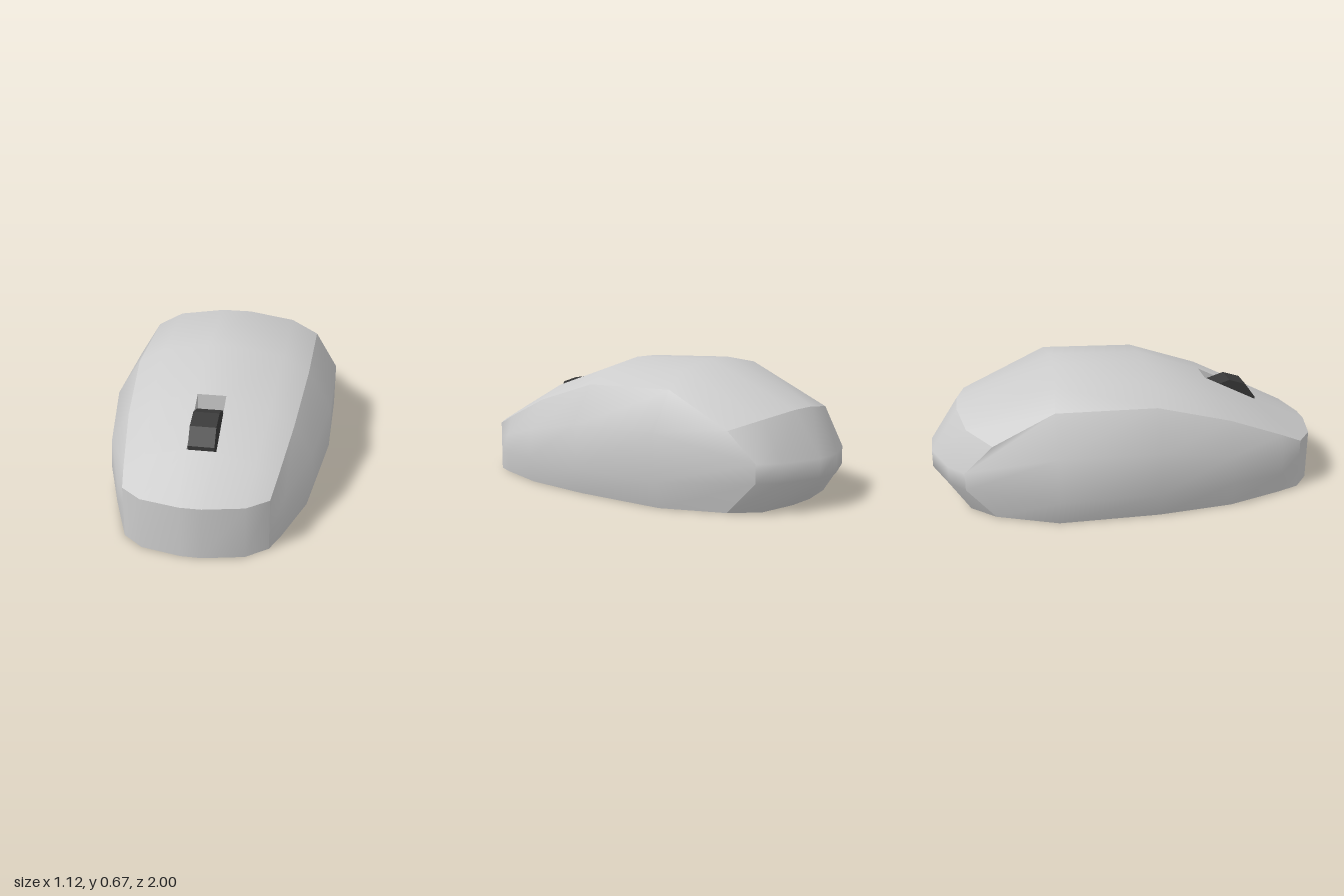
import * as THREE from 'three';

// Smooth grid patch from rows of points; skip(i, j) leaves a quad open
function patch(rows, skip = () => false) {
  const n = rows[0].length, index = [];
  for (let i = 0; i < rows.length - 1; i++) {
    for (let j = 0; j < n - 1; j++) {
      if (skip(i, j)) continue;
      const a = i * n + j, b = a + 1, c = a + n + 1, d = a + n;
      index.push(a, b, c, a, c, d);
    }
  }
  const geo = new THREE.BufferGeometry();
  geo.setAttribute('position', new THREE.Float32BufferAttribute(rows.flat(2), 3));
  geo.setIndex(index);
  geo.computeVertexNormals();
  return geo;
}

const mirror = ([x, y, z]) => [-x, y, z];
// Half row listed from outer edge (+x) to the middle -> full row from -x to +x
const full = (half) => [...half.map(mirror), ...half.slice().reverse()];

export function createModel() {
  const model = new THREE.Group();
  model.name = 'computerMouse';
  const shell = new THREE.MeshStandardMaterial({ color: 0xcccccc });
  shell.name = 'light grey shell';
  const rubber = new THREE.MeshStandardMaterial({ color: 0x383838 });
  rubber.name = 'dark grey wheel';

  const add = (name, geo, mat = shell) => {
    const mesh = new THREE.Mesh(geo, mat);
    mesh.name = name;
    model.add(mesh);
    return mesh;
  };

  // Top cover, front to back: side crease, shoulder, near centre
  const top = [
    [[0.34, 0.26, 0.88], [0.24, 0.26, 0.96], [0.05, 0.26, 1]],
    [[0.36, 0.31, 0.77], [0.26, 0.365, 0.745], [0.07, 0.395, 0.72]],
    [[0.405, 0.43, 0.48], [0.29, 0.5, 0.46], [0.07, 0.54, 0.43]],
    [[0.44, 0.54, 0.1], [0.31, 0.615, 0.1], [0.075, 0.655, 0.1]],
    [[0.445, 0.55, -0.4], [0.31, 0.63, -0.38], [0.075, 0.67, -0.37]],
    [[0.4, 0.38, -0.7], [0.29, 0.43, -0.82], [0.08, 0.455, -0.86]],
  ];
  add('topCover', patch(top.map(full), (i, j) => i === 1 && j === 2));

  // Front face
  const lip = full(top[0]);
  add('frontFace', patch([lip.map(([x, , z]) => [x, 0, z]), lip]));

  // Sides: bottom, low and high levels, closed by the crease of the cover
  const levels = [
    [[0.34, 0, 0.88], [0.385, 0, 0.77], [0.48, 0, 0.48], [0.52, 0, 0.1], [0.52, 0, -0.4], [0.4, 0, -0.7]],
    [[0.34, 0.09, 0.88], [0.4, 0.11, 0.77], [0.507, 0.13, 0.48], [0.56, 0.13, 0.1], [0.56, 0.13, -0.4], [0.38, 0.15, -0.84]],
    [[0.34, 0.18, 0.88], [0.395, 0.21, 0.77], [0.497, 0.28, 0.48], [0.56, 0.35, 0.1], [0.56, 0.36, -0.4], [0.38, 0.24, -0.84]],
    top.map((row) => row[0]),
  ];
  add('leftSide', patch(levels));
  add('rightSide', patch(levels.map((row) => row.map(mirror).reverse())));

  // Rounded rear, running from +x to -x
  const rearHalf = [
    [[0.4, 0, -0.7], [0.29, 0, -0.82], [0.08, 0, -0.86]],
    [[0.38, 0.15, -0.84], [0.29, 0.15, -0.92], [0.08, 0.15, -1]],
    [[0.38, 0.24, -0.84], [0.29, 0.24, -0.92], [0.08, 0.24, -1]],
    top[5],
  ];
  add('rear', patch(rearHalf.map((half) => full(half).reverse())));

  // Flat base following the lower outline
  const halfOutline = [...top[0].slice(1).reverse(), ...levels[0], ...rearHalf[0].slice(1)];
  const outline = [...halfOutline, ...halfOutline.map(mirror).reverse()];
  const base = new THREE.ShapeGeometry(new THREE.Shape(outline.map(([x, , z]) => new THREE.Vector2(x, z))));
  add('base', base.rotateX(Math.PI / 2));

  // Slot walls around the wheel, facing inward
  const rim = [[-0.07, 0.395, 0.72], [-0.07, 0.54, 0.43], [0.07, 0.54, 0.43], [0.07, 0.395, 0.72], [-0.07, 0.395, 0.72]];
  const walls = patch([rim.map(([x, , z]) => [x, 0.2, z]), rim]).toNonIndexed();
  walls.computeVertexNormals();
  add('wheelSlot', walls);
  const floor = new THREE.PlaneGeometry(0.14, 0.29).rotateX(-Math.PI / 2);
  add('slotFloor', floor.translate(0, 0.2, 0.575));

  // Scroll wheel with ten flat sides
  const wheel = new THREE.CylinderGeometry(0.152, 0.152, 0.125, 10).toNonIndexed();
  wheel.computeVertexNormals();
  wheel.rotateX(-Math.PI / 2).rotateY(Math.PI / 2); // vertex upward, axle along x
  add('scrollWheel', wheel, rubber).position.set(-0.003, 0.363, 0.567);

  return model;
}
